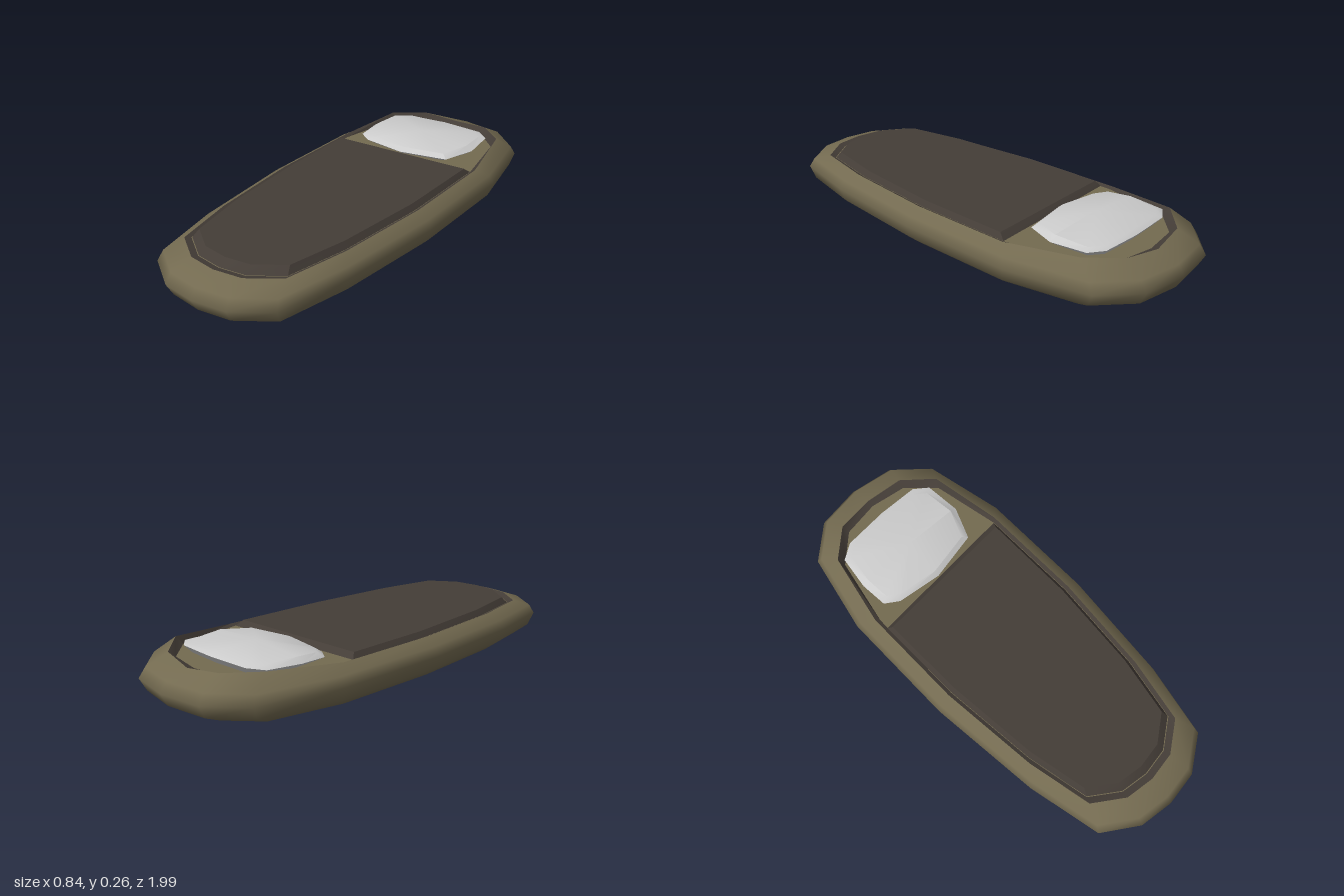
import * as THREE from 'three';
import { toCreasedNormals } from 'three/addons/utils/BufferGeometryUtils.js';

// Half outline of the bag from head to foot, as [x, z]
const HALF = [[0, -1], [0.2, -0.97], [0.345, -0.84], [0.42, -0.48], [0.42, 0.05],
  [0.37, 0.55], [0.3, 0.87], [0.15, 0.97], [0, 0.99]];
const mirrored = HALF.slice(1, -1).reverse().map(([x, z]) => [-x, z]);
const OUTLINE = [...HALF, ...mirrored];

// Moves an outline point inwards by t
const inset = ([x, z], t) => [x * (1 - 0.155 * t), z * (1 - 0.12 * t)];

// Closed ring from an outline, inset by t, with a height rule
function ring(points, t, height) {
  return points.map((p) => {
    const [x, z] = inset(p, t);
    return [x, height(x, z), z];
  });
}

// Skins a stack of rings; a ring with one point closes the end
function loft(rings) {
  const positions = [];
  const index = [];
  const starts = [];
  for (const r of rings) {
    starts.push(positions.length / 3);
    positions.push(...r.flat());
  }
  for (let k = 0; k < rings.length - 1; k++) {
    const n = rings[k].length, m = rings[k + 1].length;
    const count = Math.max(n, m);
    for (let i = 0; i < count; i++) {
      const j = (i + 1) % count;
      const a = starts[k] + (i % n), a2 = starts[k] + (j % n);
      const b = starts[k + 1] + (i % m), b2 = starts[k + 1] + (j % m);
      if (n > 1) index.push(a, b, a2);
      if (m > 1) index.push(a2, b, b2);
    }
  }
  const geometry = new THREE.BufferGeometry();
  geometry.setAttribute('position', new THREE.Float32BufferAttribute(positions, 3));
  geometry.setIndex(index);
  geometry.computeVertexNormals();
  return geometry;
}

function part(name, geometry, color) {
  const mesh = new THREE.Mesh(geometry, new THREE.MeshStandardMaterial({ color }));
  mesh.name = name;
  return mesh;
}

export function createModel() {
  const group = new THREE.Group();
  group.name = 'sleepingBag';
  const olive = 0x736a50, dark = 0x443d37, grey = 0xcccccc;

  // The rim rises a little around the hood
  const rimHeight = (x, z) =>
    0.216 + 0.026 * THREE.MathUtils.smoothstep(-z, 0.4, 0.72) * THREE.MathUtils.smoothstep(Math.abs(x), 0, 0.29);

  // Padded outer shell, from the keel underneath up to the rim
  const shell = [
    [[0, 0.003, -0.45]],
    ring(OUTLINE, 3.2, (x, z) => 0.017 + 0.012 * z),
    ring(OUTLINE, 0.95, () => 0.052),
    ring(OUTLINE, 0.25, () => 0.09),
    ring(OUTLINE, 0, () => 0.145),
    ring(OUTLINE, 0.23, () => 0.186),
    ring(OUTLINE, 1, rimHeight),
  ];
  group.add(part('outerShell', loft(shell), olive));

  // Dark inner wall of the rim, and the floor the pillow rests on
  const floor = () => 0.208;
  group.add(part('rimLining', toCreasedNormals(loft([
    ring(OUTLINE, 1, rimHeight), ring(OUTLINE, 1.25, floor),
  ]), 0.6), dark));
  group.add(part('innerFloor', loft([
    ring(OUTLINE, 1.25, floor), [[0, 0.208, 0]],
  ]), olive));

  // Blanket: the foot end of the outline with a slanted straight edge by the pillow
  const foot = OUTLINE.filter(([, z]) => z > 0);
  const blanketRing = (t, right, left, height) => [
    [right[0], height(right[1]), right[1]],
    ...ring(foot, t, (x, z) => height(z)),
    [left[0], height(left[1]), left[1]],
  ];
  const blanketTop = (z) => 0.231 + 0.007 * Math.max(0, z);
  group.add(part('blanket', toCreasedNormals(loft([
    blanketRing(1.28, [0.337, -0.41], [-0.342, -0.36], () => 0.208),
    blanketRing(1.55, [0.322, -0.38], [-0.325, -0.34], blanketTop),
    [[0, 0.232, 0.2]],
  ]), 0.5), dark));

  // Pillow: slightly skewed soft block, highest across its middle
  const pillowOutline = [[0, -0.78], [0.18, -0.775], [0.24, -0.73], [0.255, -0.57], [0.2, -0.43],
    [-0.02, -0.385], [-0.22, -0.41], [-0.28, -0.45], [-0.29, -0.57], [-0.27, -0.72], [-0.2, -0.765]];
  const centre = [-0.02, -0.57];
  const pillowRing = (scale, height) => pillowOutline.map(([x, z]) => {
    const px = centre[0] + (x - centre[0]) * scale;
    const pz = centre[1] + (z - centre[1]) * scale;
    return [px, height(px, pz), pz];
  });
  const pillowTop = (x, z) =>
    0.265 - 0.25 * (x + 0.02) ** 2 - (z > -0.57 ? 0.9 : 0.4) * (z + 0.57) ** 2;
  const pillow = loft([
    pillowRing(0.88, () => 0.208),
    pillowRing(1, (x, z) => 0.23 - 0.04 * (z + 0.57)),
    pillowRing(0.89, pillowTop),
    [[centre[0], 0.266, centre[1]]],
  ]);
  group.add(part('pillow', toCreasedNormals(pillow, 0.5), grey));

  return group;
}
